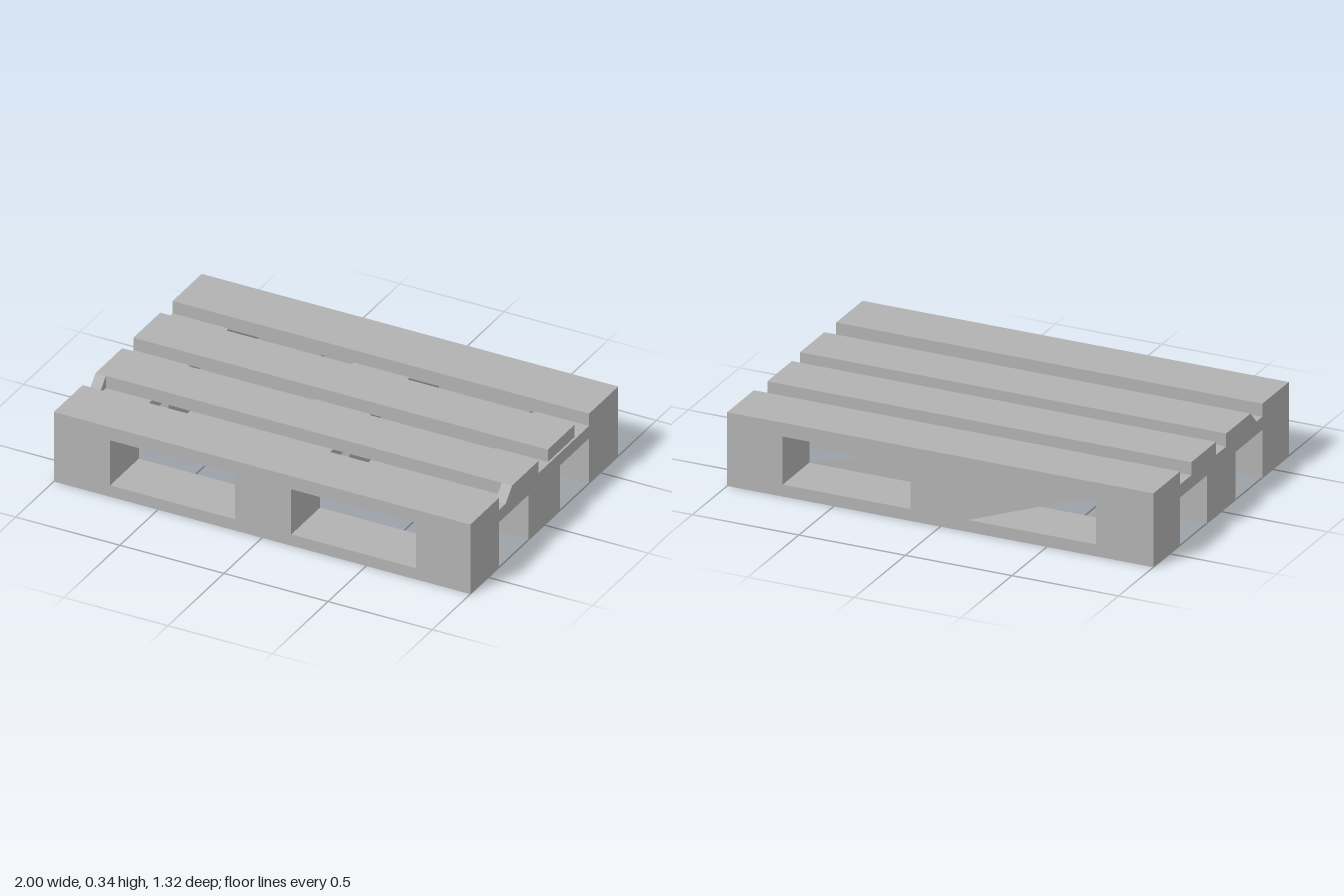
import * as THREE from 'three';

export function createModel() {
  const group = new THREE.Group();
  const grey = new THREE.MeshStandardMaterial({ color: 0xb2b2b2 });
  grey.name = 'plain grey';
  grey.side = THREE.DoubleSide;

  const add = (name, geometry) => {
    const mesh = new THREE.Mesh(geometry, grey);
    mesh.name = name;
    group.add(mesh);
    return mesh;
  };
  const outline = (points) => new THREE.Shape(points.map(([x, y]) => new THREE.Vector2(x, y)));
  const extrude = (shape, z0, z1) => new THREE.ExtrudeGeometry(shape, { depth: z1 - z0, bevelEnabled: false }).translate(0, 0, z0);
  const box = (name, x0, x1, y0, y1, z0, z1) =>
    add(name, new THREE.BoxGeometry(x1 - x0, y1 - y0, z1 - z0).translate((x0 + x1) / 2, (y0 + y1) / 2, (z0 + z1) / 2));

  const openings = [[-0.73, -0.13], [0.14, 0.74]];
  const blocks = [[-1, -0.73], [-0.13, 0.14], [0.74, 1]];
  const sill = 0.055, stringerBottom = 0.22, deckBottom = 0.28, top = 0.34;

  // Outer runners: bottom board, blocks and top board in one piece with fork openings
  for (const [name, z0, z1] of [['frontRunner', 0.403, 0.66], ['rearRunner', -0.66, -0.4]]) {
    const shape = outline([[-1, 0], [1, 0], [1, top], [-1, top]]);
    for (const [a, b] of openings) {
      shape.holes.push(outline([[a, sill], [a, 0.276], [b, 0.276], [b, sill]]));
    }
    add(name, extrude(shape, z0, z1));
  }

  // Middle runner: bottom board with three upright blocks
  const middle = [[-1, 0], [1, 0], [1, deckBottom]];
  for (const [a, b] of [...openings].reverse()) {
    middle.push([b, deckBottom], [b, sill], [a, sill], [a, deckBottom]);
  }
  middle.push([-1, deckBottom]);
  add('middleRunner', extrude(outline(middle), -0.14, 0.14));

  // Inner deck boards
  box('frontDeckBoard', -1, 1, deckBottom, top, 0.05, 0.287);
  box('rearDeckBoard', -1, 0.99, deckBottom, top, -0.29, -0.05);

  // Cross stringers bridging the runners above each block
  for (const [a, b] of blocks) {
    box('frontStringer', a, b, stringerBottom, deckBottom, 0.14, 0.403);
    box('rearStringer', a, b, stringerBottom, deckBottom, -0.4, -0.14);
  }

  // Sloped fillets beside the front deck board at both ends
  const wedge = outline([[-0.287, deckBottom], [-0.287, top], [-0.345, deckBottom]]);
  for (const x of [-1, 0.95]) {
    add('deckFillet', extrude(wedge, 0, 0.05).rotateY(Math.PI / 2).translate(x, 0, 0));
  }

  // Thin triangular webs half closing the rear openings
  add('rearOuterWeb', new THREE.ShapeGeometry(outline([[-0.73, 0.276], [-0.13, sill], [-0.13, 0.276]]))
    .translate(0, 0, -0.66));
  add('rearInnerWeb', new THREE.ShapeGeometry(outline([[0.14, sill], [0.74, sill], [0.14, stringerBottom]]))
    .translate(0, 0, -0.4));

  return group;
}
